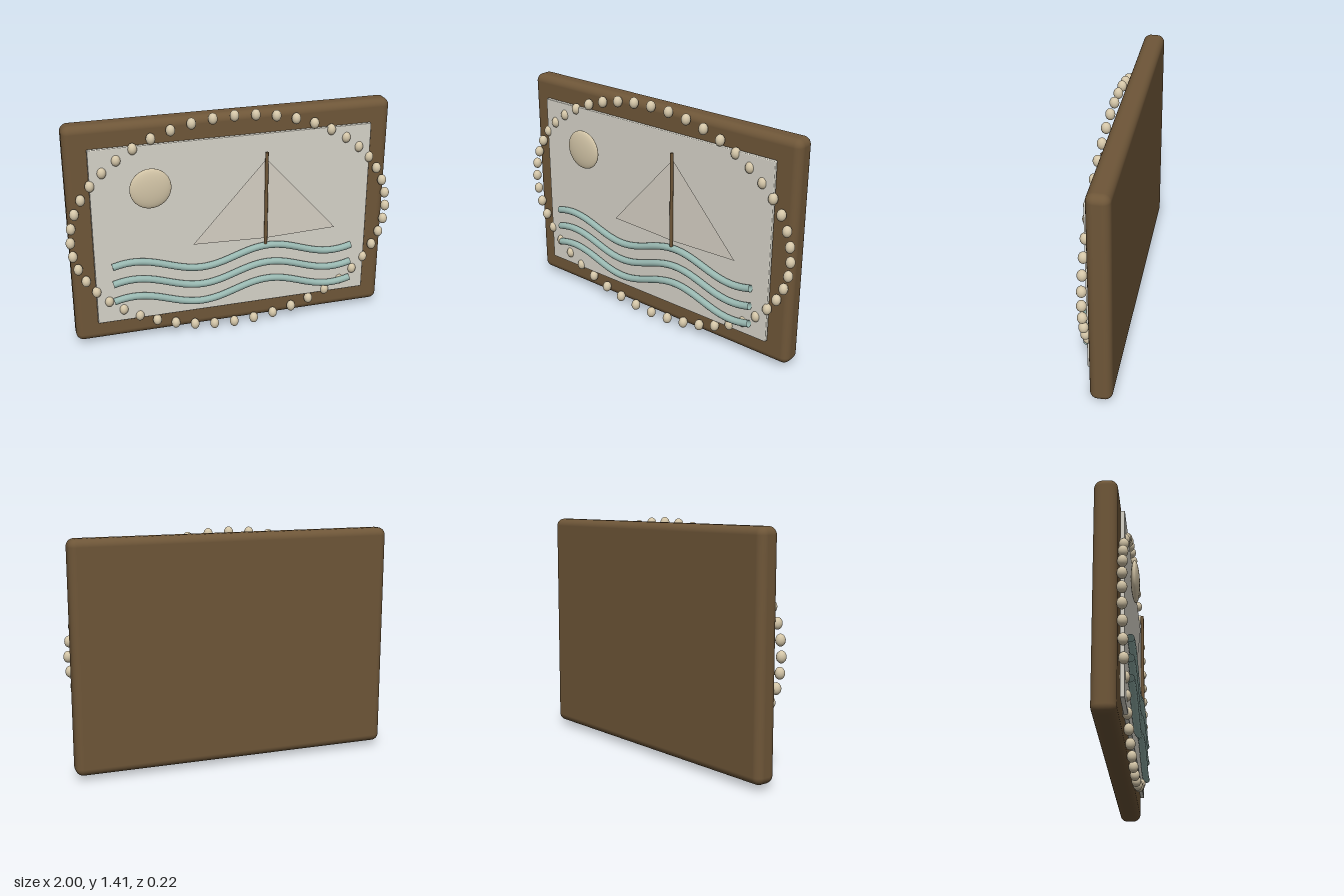
import * as THREE from 'three';
import { RoundedBoxGeometry } from 'three/addons/geometries/RoundedBoxGeometry.js';

const material = (name, color, side = THREE.FrontSide) => {
  const m = new THREE.MeshStandardMaterial({ color, side });
  m.name = name;
  return m;
};

export function createModel() {
  const wood = material('brown wood', 0x6e5638);
  const paper = material('pale panel', 0xd6d3c8);
  const canvas = material('sail canvas', 0xd6d0c4, THREE.DoubleSide);
  const water = material('sea green', 0x98b7b0, THREE.DoubleSide);
  const shell = material('sand shell', 0xd4c6a8);

  const model = new THREE.Group();
  model.name = 'framedSeascape';
  const add = (name, geometry, mat, x, y, z, parent = model) => {
    const mesh = new THREE.Mesh(geometry, mat);
    mesh.name = name;
    mesh.position.set(x, y, z);
    parent.add(mesh);
    return mesh;
  };
  const midY = 0.709;

  // Backing board and picture panel
  add('frameBoard', new RoundedBoxGeometry(1.95, 1.36, 0.13, 5, 0.045), wood, 0, midY, -0.045);
  add('picturePanel', new RoundedBoxGeometry(1.69, 1.1, 0.025, 2, 0.005), paper, 0, midY, 0.038);

  // Oval ring of beads
  const beads = new THREE.Group();
  beads.name = 'beadRing';
  model.add(beads);
  const beadShape = new THREE.SphereGeometry(1, 16, 12).scale(0.027, 0.034, 0.028);
  const count = 48;
  for (let i = 0; i < count; i++) {
    const a = (i / count) * Math.PI * 2;
    add('bead', beadShape, shell, 0.973 * Math.sin(a), midY + 0.673 * Math.cos(a), 0.045, beads);
  }

  // Flattened sun
  add('sun', new THREE.SphereGeometry(1, 40, 24).scale(0.121, 0.121, 0.025), shell, -0.505, 1.01, 0.084);

  // Boat: mast and two thin sails
  const mastX = 0.185;
  add('mast', new THREE.CylinderGeometry(0.01, 0.01, 0.585, 16), wood, mastX, 0.863, 0.083);
  for (const [name, tipX] of [['leftSail', 0.445], ['rightSail', -0.445]]) {
    const sail = new THREE.Shape([
      new THREE.Vector2(0, 1.112),
      new THREE.Vector2(tipX, 0.618),
      new THREE.Vector2(0, 0.602),
    ]);
    add(name, new THREE.ShapeGeometry(sail), canvas, mastX, 0, 0.074);
  }

  // Three open-ended tube waves
  for (let row = 0; row < 3; row++) {
    const points = [];
    for (let i = 0; i <= 40; i++) {
      const x = -0.745 + (1.49 * i) / 40;
      points.push(new THREE.Vector3(x, 0.045 * Math.cos(((x - 0.205) / 0.83) * Math.PI * 2), 0));
    }
    const path = new THREE.CatmullRomCurve3(points);
    add('wave', new THREE.TubeGeometry(path, 80, 0.021, 12), water, 0, 0.507 - row * 0.114, 0.073);
  }
  return model;
}
